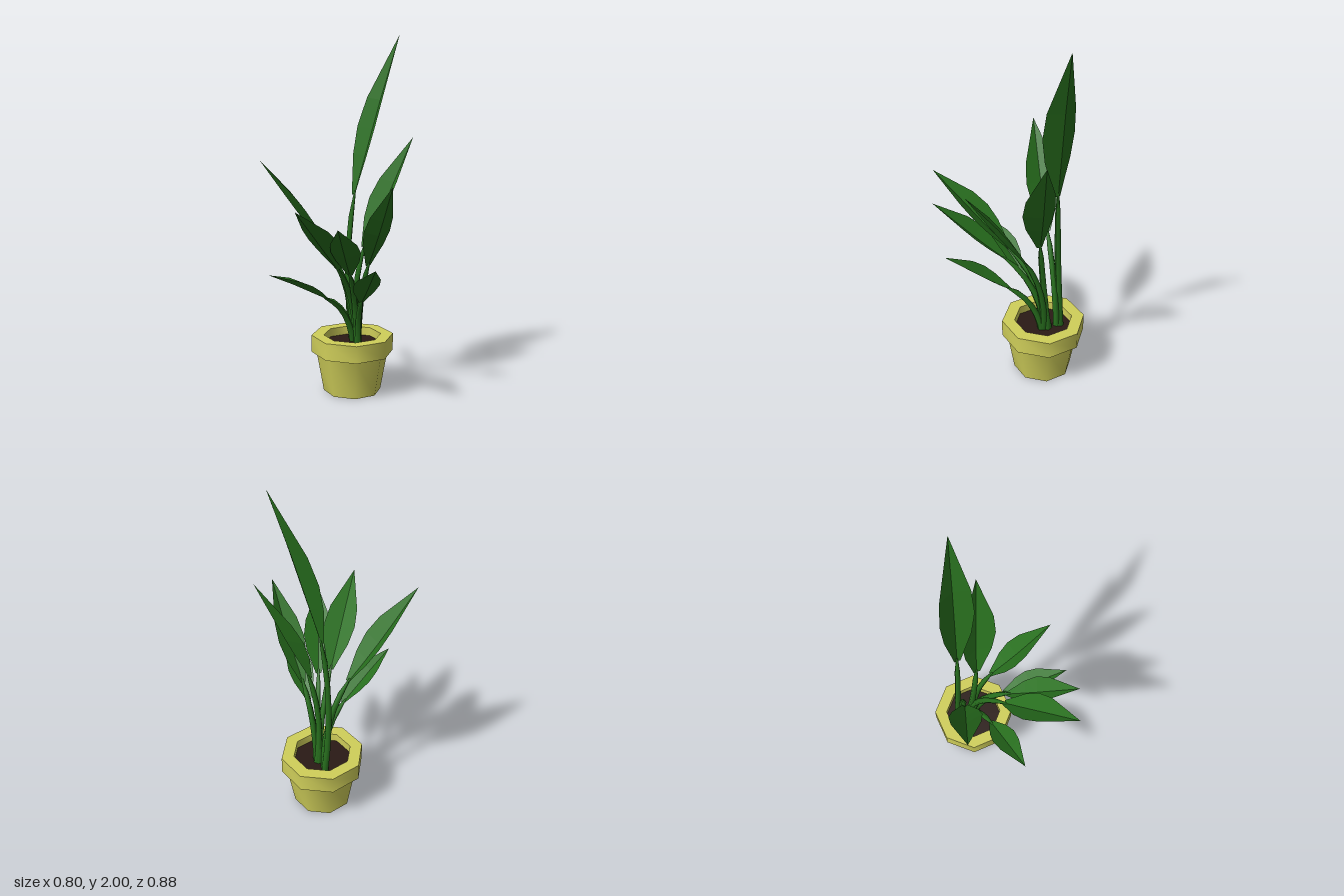
import * as THREE from 'three';
import { toCreasedNormals } from 'three/addons/utils/BufferGeometryUtils.js';

const V = (a) => new THREE.Vector3(...a);
const UP = new THREE.Vector3(0, 1, 0);

const leafMat = new THREE.MeshStandardMaterial({ color: 0x28701e, flatShading: true, side: THREE.DoubleSide });
const stemMat = new THREE.MeshStandardMaterial({ color: 0x28701e });
const potMat = new THREE.MeshStandardMaterial({ color: 0xd0cf5a });
const soilMat = new THREE.MeshStandardMaterial({ color: 0x2a1a15 });

// root on the soil, blade base, blade tip, half width, upward bow
const plants = [
  { root: [-0.09, -0.285], base: [-0.065, 1.12, -0.262], tip: [0.11, 2.0, -0.437], w: 0.095, bow: 0.025, side: [0.9, 0, 0.36] },
  { root: [-0.02, -0.25], base: [0.035, 0.84, -0.225], tip: [0.235, 1.45, -0.402], w: 0.1, bow: 0.015, side: [0.93, 0, 0.36] },
  { root: [-0.08, -0.27], base: [-0.15, 0.82, -0.14], tip: [-0.4, 1.33, 0.15], w: 0.09, bow: 0.01 },
  { root: [-0.005, -0.23], base: [0.1, 0.75, -0.185], tip: [0.39, 1.23, -0.015], w: 0.075, bow: 0.005 },
  { root: [0.0, -0.225], base: [0.12, 0.56, -0.1], tip: [0.395, 0.82, 0.13], w: 0.072, bow: 0.01 },
  { root: [-0.03, -0.25], base: [0.03, 0.75, -0.01], tip: [0.13, 1.13, 0.437], w: 0.088, bow: 0.018 },
  { root: [-0.045, -0.24], base: [-0.06, 0.565, -0.03], tip: [-0.16, 0.75, 0.33], w: 0.068, bow: 0.018 },
  { root: [-0.015, -0.235], base: [0.09, 0.72, -0.04], tip: [0.29, 1.04, 0.3], w: 0.08, bow: 0.012 },
];

// Folded blade: rows of left edge, midrib, right edge
function bladeGeometry({ base, tip, w, bow, side }) {
  const a = V(base), b = V(tip), dir = b.clone().sub(a).normalize();
  const across = side ? V(side).normalize() : dir.clone().cross(UP).normalize();
  const normal = across.clone().cross(dir).normalize();
  const rows = [[0, 0.18], [0.1, 0.42], [0.25, 0.8], [0.42, 1], [0.6, 0.88], [1, 0]];
  const pos = [], index = [];
  rows.forEach(([t, k], i) => {
    const mid = a.clone().lerp(b, t).addScaledVector(normal, bow * Math.sin(Math.PI * t));
    for (const s of [-1, 0, 1]) {
      const p = mid.clone().addScaledVector(across, s * k * w);
      p.addScaledVector(normal, (Math.abs(s) - 0.5) * 0.45 * k * w);
      pos.push(p.x, p.y, p.z);
    }
    if (i === 0) return;
    for (const j of [0, 1]) {
      const p = (i - 1) * 3 + j, q = p + 3;
      index.push(p, p + 1, q + 1);
      if (i < rows.length - 1) index.push(p, q + 1, q);
    }
  });
  const g = new THREE.BufferGeometry();
  g.setAttribute('position', new THREE.Float32BufferAttribute(pos, 3));
  g.setIndex(index);
  g.computeVertexNormals();
  return g;
}

// Tapering six-sided stalk that rises from the soil and runs into its blade
function stemGeometry({ root, base, tip }) {
  const a = V([root[0], 0.26, root[1]]), b = V(base);
  const dir = V(tip).sub(b).normalize();
  const end = b.clone().addScaledVector(dir, 0.025);
  const bend = b.clone().addScaledVector(dir, -0.45 * (b.y - a.y));
  bend.x = THREE.MathUtils.lerp(a.x, bend.x, 0.6);
  bend.z = THREE.MathUtils.lerp(a.z, bend.z, 0.6);
  const curve = new THREE.QuadraticBezierCurve3(a, bend, end);
  const rings = 6, sides = 6;
  const g = new THREE.TubeGeometry(curve, rings, 1, sides, false);
  const p = g.attributes.position;
  for (let i = 0; i < p.count; i++) {
    const t = Math.floor(i / (sides + 1)) / rings;
    const c = curve.getPointAt(t);
    const v = new THREE.Vector3().fromBufferAttribute(p, i).sub(c);
    v.multiplyScalar(t === 1 ? 0.005 : THREE.MathUtils.lerp(0.021, 0.014, t)).add(c);
    p.setXYZ(i, v.x, v.y, v.z);
  }
  g.computeVertexNormals();
  return g;
}

export function createModel() {
  const model = new THREE.Group();
  const add = (name, geometry, material, parent = model) => {
    const mesh = new THREE.Mesh(geometry, material);
    mesh.name = name;
    parent.add(mesh);
    return mesh;
  };

  // Octagonal pot with a thick rim
  const profile = [[0, 0], [0.163, 0], [0.204, 0.23], [0.233, 0.23], [0.233, 0.328], [0.163, 0.328], [0.163, 0.265]]
    .map(([r, y]) => new THREE.Vector2(r, y));
  const pot = add('pot', toCreasedNormals(new THREE.LatheGeometry(profile, 8), 0.9), potMat);
  pot.position.set(-0.03, 0, -0.21);

  const soil = add('soil', new THREE.CircleGeometry(0.163, 8), soilMat);
  soil.rotation.x = -Math.PI / 2;
  soil.position.set(-0.03, 0.28, -0.21);

  // Stalks and blades
  plants.forEach((spec, i) => {
    const leaf = new THREE.Group();
    leaf.name = `leaf${i + 1}`;
    add('stem', stemGeometry(spec), stemMat, leaf);
    add('blade', bladeGeometry(spec), leafMat, leaf);
    model.add(leaf);
  });
  return model;
}
